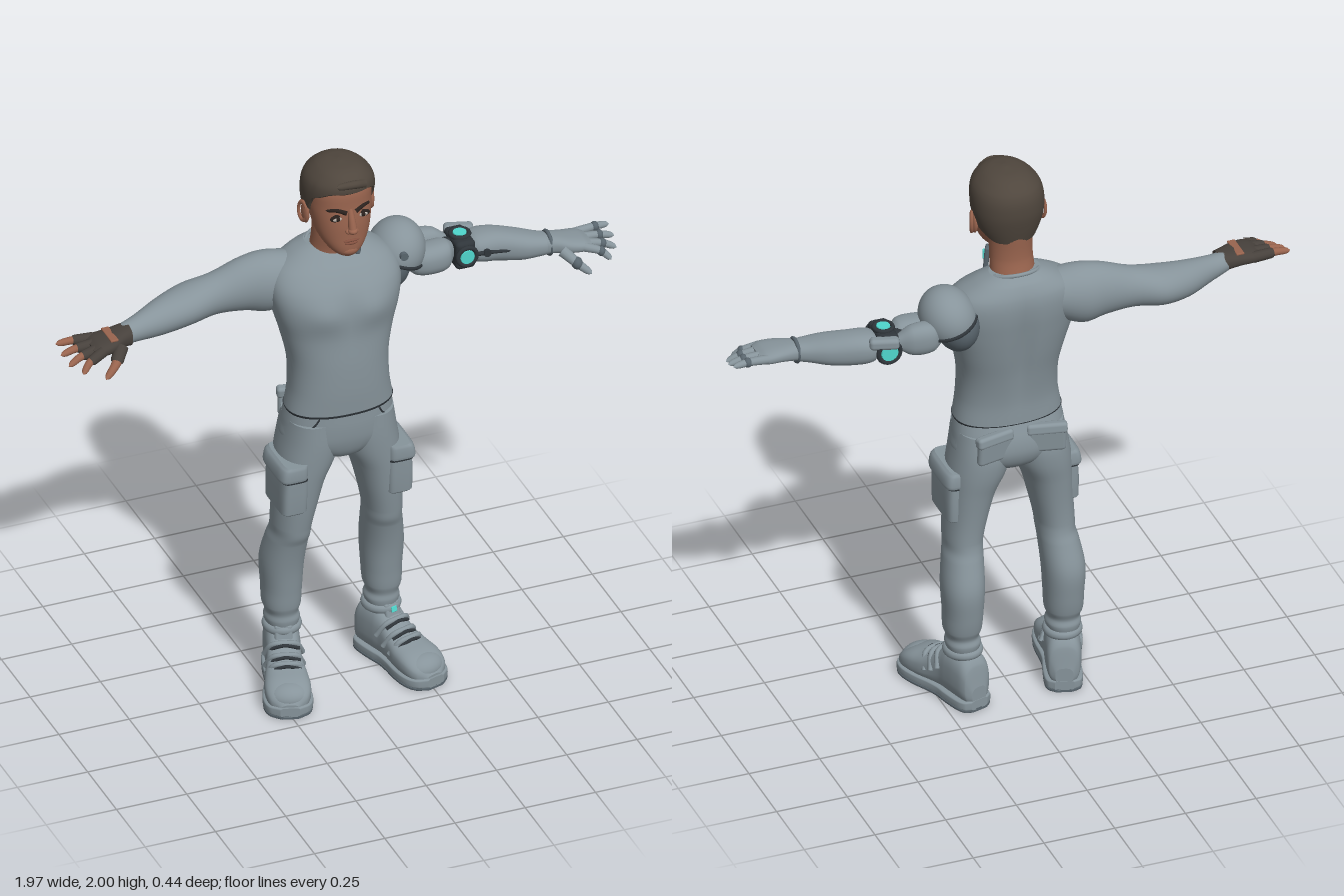
import * as THREE from 'three';
import { RoundedBoxGeometry } from 'three/addons/geometries/RoundedBoxGeometry.js';
import { mergeVertices } from 'three/addons/utils/BufferGeometryUtils.js';

const colours = {
  cloth: 0x87949b, skin: 0x99644e, hair: 0x4f463d, glove: 0x47413c, slate: 0x59656d,
  dark: 0x2f353a, glow: 0x4fd6cc, brow: 0x2a211d, eyeWhite: 0xb9b0a8, lip: 0x82503f,
};
const M = {};
for (const k in colours) { M[k] = new THREE.MeshStandardMaterial({ color: colours[k] }); M[k].name = k; }
const V = (x, y, z) => new THREE.Vector3(x, y, z);

// Smoothly interpolate rows of [along, min1, max1, min2, max2]
function sample(rows, a) {
  let i = 0;
  while (i < rows.length - 2 && a > rows[i + 1][0]) i++;
  const p = rows[i], q = rows[i + 1], h = q[0] - p[0], t = Math.min(1, Math.max(0, (a - p[0]) / h));
  const slope = (k, c) => {
    const l = rows[Math.max(0, k - 1)], r = rows[Math.min(rows.length - 1, k + 1)];
    return (r[c] - l[c]) / (r[0] - l[0]);
  };
  return [1, 2, 3, 4].map(c => {
    const t2 = t * t, t3 = t2 * t;
    return (2 * t3 - 3 * t2 + 1) * p[c] + (t3 - 2 * t2 + t) * h * slope(i, c)
      + (3 * t2 - 2 * t3) * q[c] + (t3 - t2) * h * slope(i + 1, c);
  });
}
const pw = (v, n) => Math.sign(v) * Math.abs(v) ** (2 / n);
function ringPoint(rows, a, th, n) {
  const [a0, a1, b0, b1] = sample(rows, a);
  return [(a0 + a1) / 2 + (a1 - a0) / 2 * pw(Math.cos(th), n), (b0 + b1) / 2 + (b1 - b0) / 2 * pw(Math.sin(th), n)];
}
// Front surface z of an upright loft
function frontZ(rows, x, y, n = 2) {
  const [a0, a1, b0, b1] = sample(rows, y);
  const u = Math.min(1, Math.abs(x - (a0 + a1) / 2) / ((a1 - a0) / 2));
  return (b0 + b1) / 2 + (b1 - b0) / 2 * (1 - u ** n) ** (1 / n);
}
// Closed loft. Rows: y axis (x, z), x axis (z, y), z axis (y, x)
function loft(axis, rows, { n = 2, seg = 36, sub = 5, warp, start } = {}) {
  const pos = [], idx = [], levels = [];
  for (let i = 0; i < rows.length - 1; i++)
    for (let k = 0; k < sub; k++) levels.push(rows[i][0] + (rows[i + 1][0] - rows[i][0]) * k / sub);
  levels.push(rows.at(-1)[0]);
  const lo = levels[0], hi = levels.at(-1);
  const ring = a => {
    for (let j = 0; j < seg; j++) {
      const th = j / seg * Math.PI * 2;
      const s = start ? start(Math.sin(th)) : lo;
      const al = s + (a - lo) / (hi - lo) * (hi - s);
      const [f, g] = ringPoint(rows, al, th, n);
      const p = axis === 'y' ? V(f, al, g) : axis === 'x' ? V(al, g, f) : V(g, f, al);
      if (warp) warp(p);
      pos.push(p.x, p.y, p.z);
    }
  };
  levels.forEach(ring);
  for (let i = 0; i < levels.length - 1; i++) for (let j = 0; j < seg; j++) {
    const k = (j + 1) % seg, a = i * seg, b = a + seg;
    idx.push(a + j, b + j, b + k, a + j, b + k, a + k);
  }
  for (const [level, end] of [[lo, 0], [hi, 1]]) {
    const base = pos.length / 3;
    ring(level);
    const c = [0, 0, 0];
    for (let j = 0; j < seg; j++) for (let d = 0; d < 3; d++) c[d] += pos[(base + j) * 3 + d] / seg;
    pos.push(...c);
    for (let j = 0; j < seg; j++) {
      const k = (j + 1) % seg;
      idx.push(base + seg, base + (end ? k : j), base + (end ? j : k));
    }
  }
  const g = new THREE.BufferGeometry();
  g.setAttribute('position', new THREE.Float32BufferAttribute(pos, 3));
  g.setIndex(idx);
  g.computeVertexNormals();
  return g;
}
// Tapered tube with a rounded tip
function taper(pts, r0, r1, round = true, seg = 12) {
  const path = new THREE.CatmullRomCurve3(pts.map(p => V(...p))), N = 14;
  const g = new THREE.TubeGeometry(path, N, 1, seg), p = g.attributes.position, v = V();
  for (let i = 0; i <= N; i++) {
    const t = i / N, c = path.getPointAt(t), e = Math.max(0, (t - 0.8) / 0.2);
    const r = (r0 + (r1 - r0) * t) * (round ? Math.sqrt(Math.max(0, 1 - e * e)) : 1);
    for (let j = 0; j <= seg; j++) {
      const k = i * (seg + 1) + j;
      v.fromBufferAttribute(p, k).sub(c).multiplyScalar(r).add(c);
      p.setXYZ(k, v.x, v.y, v.z);
    }
  }
  return g;
}
const ball = (x, y, z, a, b, c) => new THREE.SphereGeometry(1, 28, 18).scale(a, b, c).translate(x, y, z);
const box = (w, h, d, r) => mergeVertices(new RoundedBoxGeometry(w, h, d, 3, r));
function mirrored(geo) {
  const g = geo.clone().scale(-1, 1, 1), ix = g.index;
  for (let i = 0; i < ix.count; i += 3) { const t = ix.getX(i); ix.setX(i, ix.getX(i + 2)); ix.setX(i + 2, t); }
  return g;
}

export function createModel() {
  const root = new THREE.Group();
  root.name = 'figure';
  const add = (name, geo, mat) => {
    const m = new THREE.Mesh(geo, mat);
    m.name = name;
    root.add(m);
  };
  const both = (name, geo, mat) => { add(name + 'Left', geo, mat); add(name + 'Right', mirrored(geo), mat); };
  const sym = rows => rows.map(([y, w, b, f]) => [y, -w, w, b, f]);

  // Shirt, with chest and spine modelling
  const torso = sym([[1.065, .185, -.138, .1], [1.15, .172, -.14, .105], [1.25, .172, -.155, .105], [1.35, .193, -.175, .1],
    [1.44, .218, -.19, .1], [1.52, .228, -.2, .082], [1.58, .205, -.198, .042], [1.625, .14, -.18, -.004], [1.65, .088, -.155, -.035]]);
  add('shirt', loft('y', torso, { n: 2.3, seg: 56, warp: p => {
    const bump = (x, y, sx, sy) => Math.exp(-(((Math.abs(p.x) - x) / sx) ** 2) - ((p.y - y) / sy) ** 2);
    if (p.z > 0) p.z += .014 * bump(.09, 1.46, .07, .055) - .006 * bump(0, 1.46, .02, .1);
    else p.z += .016 * bump(0, 1.36, .03, .2);
  } }), M.cloth);
  add('shirtHem', loft('y', sym([[1.061, .184, -.137, .1], [1.069, .187, -.14, .102]]), { n: 2.3, sub: 1, seg: 56 }), M.dark);
  add('collar', new THREE.TorusGeometry(1, .075, 10, 40).rotateX(Math.PI / 2).scale(.087, .09, .075).rotateX(.3).translate(0, 1.635, -.08), M.cloth);

  // Neck and head
  add('neck', loft('y', sym([[1.58, .082, -.15, -.01], [1.64, .076, -.137, -.008], [1.7, .073, -.125, .005], [1.8, .073, -.13, .02]])), M.skin);
  const face = sym([[1.675, .022, .03, .085], [1.685, .042, .0, .095], [1.71, .066, -.03, .1], [1.75, .088, -.07, .1], [1.8, .1, -.1, .1],
    [1.86, .107, -.125, .095], [1.93, .1, -.125, .088], [1.975, .05, -.07, .05]]);
  add('head', loft('y', face, { n: 2.2 }), M.skin);
  const step = (a, b, x) => THREE.MathUtils.smoothstep(x, a, b);
  const hair = sym([[1.74, .08, -.118, .05], [1.82, .113, -.138, .08], [1.88, .122, -.147, .097], [1.94, .114, -.14, .108],
    [1.975, .085, -.11, .09], [1.993, .05, -.07, .055], [2, .006, -.015, .005]]);
  add('hair', loft('y', hair, { n: 2.15, seg: 64, start: f => 1.765 + .04 * step(-.8, 0, f) + .095 * step(.1, .45, f) + .03 * step(.45, .9, f) }), M.hair);
  add('quiff', taper([[.05, 1.945, .085], [.01, 1.958, .1], [-.05, 1.955, .092]], .016, .012), M.hair);
  add('noseBridge', taper([[0, 1.86, .088], [0, 1.825, .102], [0, 1.787, .114]], .009, .016), M.skin);
  add('noseTip', ball(0, 1.788, .112, .017, .012, .017), M.skin);
  add('upperLip', ball(0, 1.744, .1, .028, .005, .006), M.lip);
  add('lowerLip', ball(0, 1.734, .1, .023, .006, .007), M.lip);
  add('chin', ball(0, 1.7, .082, .032, .02, .02), M.skin);
  const fz = (x, y) => frontZ(face, x, y, 2.2);
  both('nostril', ball(.013, 1.783, .104, .01, .008, .012), M.skin);
  both('eyeSocket', ball(.045, 1.833, fz(.045, 1.833) - .002, .026, .014, .005), M.brow);
  both('eye', ball(.045, 1.83, fz(.045, 1.83), .018, .008, .006), M.eyeWhite);
  both('iris', ball(.045, 1.831, fz(.045, 1.831) + .003, .008, .008, .005), M.brow);
  both('eyebrow', taper([.016, .045, .078].map((x, i) => [x, [1.85, 1.862, 1.858][i], fz(x, 1.86) + .001]), .008, .005), M.brow);
  both('ear', ball(.115, 1.815, -.02, .012, .042, .025), M.skin);
  both('earRim', new THREE.TorusGeometry(.024, .006, 8, 20).scale(.8, 1.45, 1).rotateY(1.2).translate(.124, 1.818, -.022), M.skin);
  add('neckPlate', box(.016, .085, .034, .006).rotateZ(.08).rotateY(-.5).translate(.066, 1.66, -.01), M.slate);
  add('neckLight', box(.008, .035, .012, .003).rotateY(-.5).translate(.074, 1.67, -.004), M.glow);

  // Trousers
  const hips = sym([[.865, .03, -.05, .03], [.89, .1, -.12, .068], [.94, .19, -.155, .09], [1, .192, -.158, .098], [1.07, .182, -.138, .098]]);
  add('trouserSeat', loft('y', hips, { n: 2.3 }), M.cloth);
  const leg = [[.19, .13, .225, -.13, -.02], [.23, .118, .236, -.14, -.012], [.255, .125, .232, -.135, -.014], [.285, .116, .242, -.146, -.006], [.35, .112, .244, -.157, 0],
    [.45, .107, .248, -.164, .012], [.55, .102, .234, -.137, .034], [.585, .1, .226, -.126, .048], [.62, .097, .226, -.122, .054],
    [.7, .08, .222, -.126, .066], [.8, .053, .218, -.138, .078], [.88, .016, .212, -.152, .086], [.95, .006, .2, -.155, .09], [1.03, .02, .186, -.14, .09]];
  both('trouserLeg', loft('y', leg, { n: 2.2 }), M.cloth);
  both('cargoPocket', loft('y', [[.7, .15, .226, -.09, .07], [.71, .14, .235, -.1, .08], [.86, .14, .23, -.102, .088], [.87, .14, .22, -.1, .085]], { n: 5, sub: 2 }), M.cloth);
  both('pocketSeam', loft('y', [[.832, .138, .236, -.104, .089], [.84, .138, .236, -.104, .089]], { n: 5, sub: 1 }), M.dark);
  both('pocketFlap', loft('y', [[.838, .14, .242, -.105, .09], [.848, .14, .243, -.107, .092], [.88, .14, .236, -.105, .092], [.892, .14, .222, -.1, .088]], { n: 5, sub: 2 }), M.cloth);
  both('backPocket', box(.13, .1, .03, .014).rotateX(-.08).rotateY(.22).translate(.092, 1, -.15), M.cloth);
  both('backPocketFlap', box(.138, .04, .036, .012).rotateX(.1).rotateY(.22).translate(.092, 1.038, -.15), M.cloth);
  both('pocketSlit', taper([[.105, 1.06], [.125, 1.03], [.172, 1.01]].map(([x, y]) => [x, y, frontZ(hips, x, y, 2.3)]), .003, .003), M.dark);

  // Boots, turned outward
  const place = g => g.rotateY(.29).translate(.175, 0, -.08);
  const boot = [[-.085, .03, .09, -.03, .03], [-.07, .02, .17, -.052, .052], [-.03, .02, .2, -.06, .06], [.03, .02, .205, -.06, .06], [.065, .02, .185, -.058, .058],
    [.11, .02, .145, -.063, .063], [.16, .02, .122, -.073, .073], [.22, .02, .106, -.077, .077], [.265, .02, .08, -.063, .063], [.288, .02, .05, -.03, .03]];
  both('boot', place(loft('z', boot, { n: 2.7 })), M.cloth);
  const sole = (y0, y1, k) => loft('z', boot.map(([z, , , a, b]) => [z * 1.025, y0, y1, a * k, b * k]), { n: 6, sub: 3 });
  both('midsole', place(sole(.008, .042, 1.08)), M.cloth);
  both('outsole', place(sole(0, .012, 1.06)), M.slate);
  both('toeCap', place(ball(0, .055, .225, .076, .047, .06)), M.cloth);
  both('bootCuff', place(new THREE.TorusGeometry(.052, .013, 10, 32).rotateX(Math.PI / 2).scale(1.03, 1.3, 1.08).translate(0, .198, .005)), M.cloth);
  both('tongue', place(box(.06, .06, .02, .009).rotateX(-.25).translate(0, .19, .062)), M.cloth);
  for (const [i, z, y] of [[1, .085, .168], [2, .12, .143], [3, .152, .128]]) {
    both('strap' + i, place(taper([[-.064, y - .055, z - .025], [-.04, y - .006, z], [0, y, z + .005], [.04, y - .006, z], [.064, y - .055, z - .025]], .009, .009, false)), M.cloth);
    both('strapGap' + i, place(taper([[-.05, y - .02, z + .008], [0, y - .003, z + .016], [.05, y - .02, z + .008]], .006, .006)), M.dark);
  }
  add('ankleLight', place(box(.022, .02, .006, .002).rotateX(-.25).translate(0, .198, .074)), M.glow);

  // Sleeved right arm
  add('sleeve', loft('x', [[-.765, -.082, -.008, 1.44, 1.506], [-.7, -.11, -.023, 1.428, 1.515], [-.6, -.165, -.035, 1.415, 1.535], [-.5, -.198, -.042, 1.42, 1.555],
    [-.4, -.186, -.056, 1.433, 1.578], [-.3, -.192, -.045, 1.425, 1.614], [-.22, -.198, -.028, 1.41, 1.626], [-.12, -.175, -.025, 1.45, 1.615]]), M.cloth);

  // Hands: palm and fingers shared by both sides
  const palm = loft('x', [[.735, -.087, -.002, 1.438, 1.508], [.765, -.083, .01, 1.445, 1.507], [.81, -.08, .035, 1.448, 1.502], [.86, -.078, .045, 1.45, 1.496], [.885, -.065, .035, 1.455, 1.486]], { n: 2.5 });
  add('gloveRight', mirrored(palm), M.glove);
  add('handLeft', palm, M.cloth);
  add('gloveCutout', box(.028, .008, .09, .003).translate(-.81, 1.499, -.022), M.skin);
  const tips = [[.985, 1.476, -.068, -.062], [.985, 1.458, -.022, -.029], [.975, 1.44, .024, .004], [.94, 1.425, .066, .03]];
  const fingers = tips.map(([x, y, z, z0]) => [[.855, 1.474, z0], [(x + .86) / 2 + .01, (y + 1.484) / 2, (z + z0) / 2], [x, y, z]]);
  fingers.push([[.785, 1.468, .018], [.82, 1.435, .058], [.865, 1.395, .08]]);
  fingers.forEach((f, i) => {
    const thick = i === 4 ? .021 : .0165, name = i === 4 ? 'thumb' : 'finger' + (i + 1);
    add(name + 'Right', mirrored(taper(f, thick, .011)), M.skin);
    add(name + 'Glove', mirrored(taper([f[0], f[0].map((v, k) => (v + f[1][k]) / 2), f[1]], thick + .003, thick + .001)), M.glove);
    add(name + 'Left', taper(f, thick, .011), M.cloth);
    add(name + 'Knuckle', ball(...f[1], thick * .9, thick * 1.03, thick * 1.03), M.slate);
  });
  add('wristRing', new THREE.TorusGeometry(.039, .007, 8, 28).rotateY(Math.PI / 2).translate(.755, 1.474, -.04), M.slate);

  // Mechanical left shoulder and upper arm
  add('shoulderSocket', ball(.212, 1.5, -.11, .075, .1, .1), M.slate);
  add('shoulderPad', new THREE.SphereGeometry(1, 36, 20, 0, Math.PI * 2, 0, 1.75).scale(.095, .11, .108).rotateZ(-.35).translate(.245, 1.53, -.113), M.cloth);
  add('shoulderPadRim', new THREE.TorusGeometry(1, .06, 8, 40).rotateX(Math.PI / 2).scale(.094, .11, .107).rotateZ(-.35).translate(.24, 1.515, -.113), M.dark);
  add('shoulderBolt', new THREE.CylinderGeometry(.014, .014, .02, 20).rotateX(Math.PI / 2).translate(.232, 1.562, -.012), M.slate);
  add('upperArmCore', taper([[.25, 1.49, -.12], [.36, 1.49, -.12], [.47, 1.485, -.11]], .042, .036, false), M.dark);
  add('biceps', loft('x', [[.27, -.12, -.07, 1.46, 1.5], [.3, -.135, -.04, 1.438, 1.53], [.36, -.14, -.03, 1.432, 1.54], [.41, -.135, -.04, 1.44, 1.538], [.435, -.12, -.07, 1.465, 1.52]], { n: 2.4 }), M.cloth);
  add('triceps', loft('x', [[.28, -.17, -.13, 1.47, 1.52], [.32, -.198, -.12, 1.445, 1.55], [.39, -.195, -.12, 1.445, 1.55], [.435, -.17, -.13, 1.47, 1.52]], { n: 2.4 }), M.cloth);

  // Elbow joint with glowing discs
  add('elbowBlock', box(.07, .105, .125, .016).translate(.47, 1.484, -.108), M.dark);
  const disc = (name, turn, x, y, z, r) => {
    const lay = (g) => g.rotateX(turn).translate(x, y, z);
    add(name + 'Rim', lay(new THREE.TorusGeometry(r + .006, .008, 8, 28).rotateX(Math.PI / 2)), M.dark);
    add(name, lay(new THREE.CylinderGeometry(r * .9, r, .014, 28)), M.glow);
  };
  disc('elbowLightFront', Math.PI / 2, .47, 1.485, -.042, .027);
  disc('elbowLightTop', 0, .47, 1.538, -.108, .025);
  disc('elbowLightBack', -Math.PI / 2, .475, 1.48, -.178, .032);
  add('elbowGuard', box(.1, .04, .04, .014).rotateY(-.3).translate(.49, 1.515, -.17), M.cloth);

  // Mechanical forearm
  add('forearm', loft('x', [[.495, -.15, -.06, 1.45, 1.52], [.52, -.17, -.046, 1.43, 1.532], [.58, -.162, -.038, 1.424, 1.535], [.66, -.132, -.01, 1.425, 1.524], [.72, -.1, .0, 1.435, 1.512], [.755, -.083, 0, 1.44, 1.507]], { n: 2.4 }), M.cloth);
  add('forearmSlot', taper([[.51, 1.484, -.046], [.56, 1.484, -.038], [.62, 1.482, -.025]], .008, .004), M.dark);
  add('forearmPin', new THREE.CylinderGeometry(.013, .013, .02, 18).rotateX(Math.PI / 2).translate(.54, 1.485, -.042), M.dark);
  return root;
}
